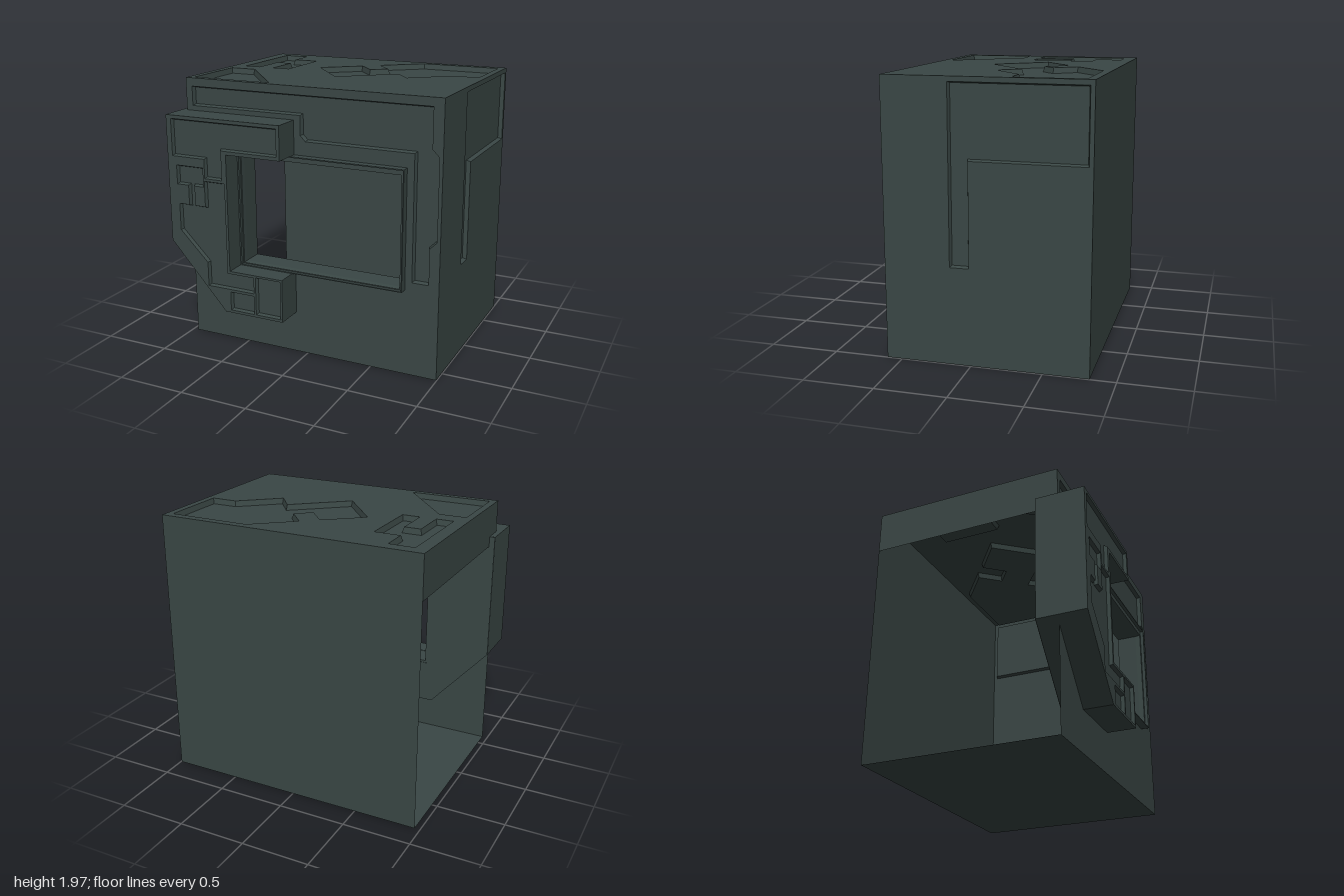
import * as THREE from 'three';

const casing = new THREE.MeshStandardMaterial({ color: 0x3a4745, side: THREE.DoubleSide });
casing.name = 'dark grey green casing';

// Outline helpers: every outline is a counter-clockwise list of Vector2
const outline = (...p) => {
  const pts = p.map(([x, y]) => new THREE.Vector2(x, y));
  return THREE.ShapeUtils.isClockWise(pts) ? pts.reverse() : pts;
};
const rect = (x0, y0, x1, y1) => outline([x0, y0], [x1, y0], [x1, y1], [x0, y1]);

// Mitred inset of an outline
function inset(pts, d) {
  const n = pts.length;
  return pts.map((p, i) => {
    const a = p.clone().sub(pts[(i + n - 1) % n]).normalize();
    const b = pts[(i + 1) % n].clone().sub(p).normalize();
    const na = new THREE.Vector2(-a.y, a.x), nb = new THREE.Vector2(-b.y, b.x);
    const k = d / (1 + na.dot(nb));
    return p.clone().addScaledVector(na.add(nb), k);
  });
}

function add(parent, name, geometry) {
  const mesh = new THREE.Mesh(geometry, casing);
  mesh.name = name;
  parent.add(mesh);
  return mesh;
}

// Flat sheet at height w, with optional openings
function sheet(parent, name, pts, w, holes = []) {
  const shape = new THREE.Shape(pts);
  shape.holes = holes.map(h => new THREE.Path(h));
  return add(parent, name, new THREE.ShapeGeometry(shape).translate(0, 0, w));
}

// Walls joining loop a (height wa) to loop b (height wb)
function band(parent, name, a, wa, b, wb) {
  const pos = [];
  a.forEach((p, i) => {
    const j = (i + 1) % a.length;
    const A = [p.x, p.y, wa], B = [a[j].x, a[j].y, wa];
    const C = [b[j].x, b[j].y, wb], D = [b[i].x, b[i].y, wb];
    pos.push(...A, ...D, ...C, ...A, ...C, ...B);
  });
  const g = new THREE.BufferGeometry();
  g.setAttribute('position', new THREE.Float32BufferAttribute(pos, 3));
  g.computeVertexNormals();
  return add(parent, name, g);
}

// Sheet with sunken, slightly tapered panels
function panel(parent, name, pts, w, recesses, depth, openings = []) {
  const group = new THREE.Group();
  group.name = name;
  parent.add(group);
  sheet(group, name + 'Face', pts, w, [...recesses, ...openings]);
  for (const r of recesses) {
    const floor = inset(r, 0.01);
    band(group, 'recessWall', r, w, floor, w - depth);
    sheet(group, 'recessFloor', floor, w - depth);
  }
  return group;
}

export function createModel() {
  const model = new THREE.Group();
  model.name = 'casing';
  const L = -0.96, R = 0.995, T = 1.97, F = 0.61, B = -0.82;

  // Front wall with stepped channel and window opening
  const frameOuter = rect(-0.515, 0.63, 0.75, 1.49);
  const channel = outline([-0.91, 1.91], [0.92, 1.91], [0.92, 1.63], [0.97, 1.58], [0.97, 1.0],
    [0.92, 0.95], [0.92, 0.69], [0.8, 0.69], [0.8, 1.59], [0, 1.59], [-0.04, 1.63], [-0.04, 1.77], [-0.91, 1.77]);
  panel(model, 'frontWall', rect(L, 0, R, T), F, [channel], 0.03, [frameOuter]);

  // Top wall with three sunken shapes (v = -z)
  const top = panel(model, 'topWall', rect(L, -F, R, -B), T, [
    outline([-0.865, 0.73], [-0.68, 0.73], [-0.68, 0.53], [-0.49, 0.53], [-0.49, 0.065], [-0.62, 0.065],
      [-0.62, 0.34], [-0.74, 0.34], [-0.74, 0.065], [-0.865, 0.065]),
    outline([0.35, 0.76], [0.945, 0.76], [0.945, 0.27], [0.75, 0.27], [0.48, 0.04], [0.36, 0.19],
      [-0.01, -0.12], [-0.3, 0.23], [-0.04, 0.44], [0.09, 0.29], [0.2, 0.38], [0.07, 0.53]),
    outline([-0.91, -0.065], [-0.71, -0.065], [-0.305, -0.56], [-0.91, -0.56]),
  ], 0.04);
  top.rotation.x = -Math.PI / 2;

  // Side wall with sunken L panel (u = -z)
  const side = panel(model, 'sideWall', rect(-F, 0, -B, T), R, [
    outline([-0.145, 1.935], [0.79, 1.935], [0.79, 1.42], [-0.01, 1.42], [-0.01, 0.69], [-0.145, 0.69]),
  ], 0.03);
  side.rotation.y = Math.PI / 2;

  // Plain back and floor, and the short apron above the open side
  sheet(model, 'backWall', rect(-R, 0, -L, T), -B).rotation.y = Math.PI;
  sheet(model, 'floor', rect(L, B, R, F), 0).rotation.x = Math.PI / 2;
  sheet(model, 'sideApron', rect(B, 1.66, F, T), -L).rotation.y = -Math.PI / 2;

  // Stepped window frame reaching into the casing
  const frame = new THREE.Group();
  frame.name = 'windowFrame';
  model.add(frame);
  const lip = rect(-0.505, 0.637, 0.743, 1.482);
  const step = rect(-0.497, 0.643, 0.725, 1.445);
  const opening = rect(-0.495, 0.648, 0.715, 1.435);
  const front = 0.67, back = 0.46;
  band(frame, 'frameOuterWall', frameOuter, front, frameOuter, back);
  sheet(frame, 'frameLip', frameOuter, front, [lip]);
  band(frame, 'frameStepWall', lip, front, lip, 0.645);
  sheet(frame, 'frameStep', lip, 0.645, [step]);
  band(frame, 'frameBevel', step, 0.645, opening, 0.61);
  band(frame, 'frameInnerWall', opening, 0.61, opening, back);
  sheet(frame, 'frameBack', frameOuter, back, [opening]);

  // C-shaped bracket clasping the window
  const bracket = new THREE.Group();
  bracket.name = 'bracket';
  model.add(bracket);
  const c = outline([-1, 0.8], [-0.56, 0.31], [-0.09, 0.31], [-0.09, 0.63], [-0.515, 0.63],
    [-0.515, 1.49], [-0.09, 1.49], [-0.09, 1.735], [-1, 1.735]);
  panel(bracket, 'bracketFront', c, 0.82, [
    outline([-0.96, 1.71], [-0.115, 1.71], [-0.115, 1.515], [-0.555, 1.515], [-0.555, 1.3],
      [-0.695, 1.3], [-0.695, 1.44], [-0.96, 1.44]),
    outline([-0.535, 1.28], [-0.7, 1.28], [-0.7, 1.09], [-0.785, 1.09], [-0.785, 1.235], [-0.71, 1.235],
      [-0.71, 1.375], [-0.93, 1.375], [-0.93, 1.235], [-0.835, 1.235], [-0.835, 1.09], [-0.92, 1.09],
      [-0.92, 0.89], [-0.7, 0.67], [-0.7, 0.49], [-0.32, 0.49], [-0.32, 0.61], [-0.535, 0.61]),
    rect(-0.515, 0.33, -0.32, 0.47),
    rect(-0.305, 0.33, -0.105, 0.615),
  ], 0.025);
  band(bracket, 'bracketSides', c, 0.82, c, back);
  sheet(bracket, 'bracketBack', c, back - 0.002);

  return model;
}
